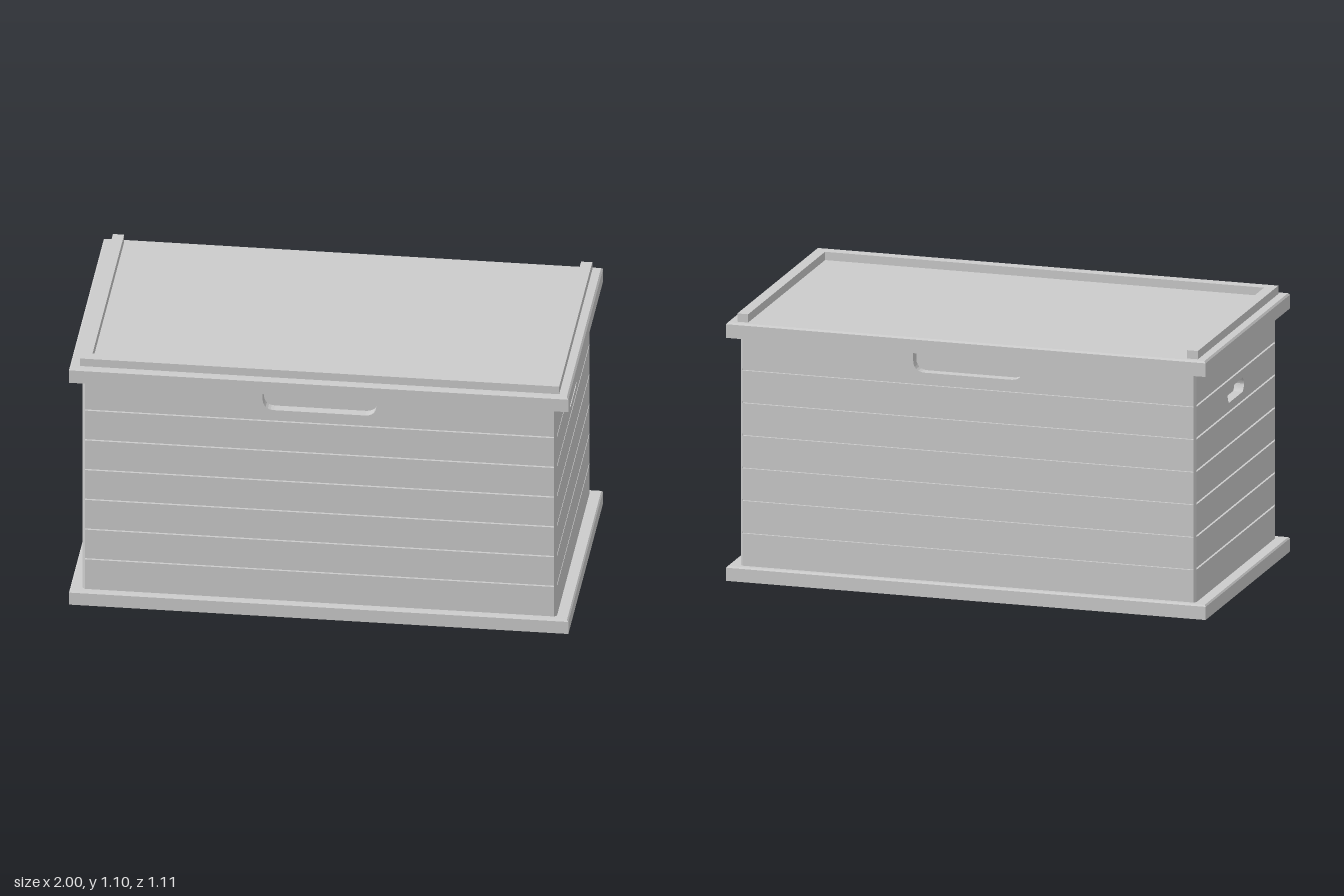
import * as THREE from 'three';

const BODY_X = 0.95, BODY_Z = 0.527, CORNER = 0.01;
const BASE_TOP = 0.06, BODY_TOP = 1.03, LID_TOP = 1.063;
const PLANK_FACE = 0.01, WALL = 0.04, GAP = 0.008;
const SEAMS = [0.197, 0.331, 0.465, 0.599, 0.733, 0.867];

export function createModel() {
  const grey = new THREE.MeshStandardMaterial({ color: 0xcccccc });
  grey.name = 'plain grey';
  const model = new THREE.Group();
  model.name = 'storageChest';

  const add = (parent, name, geometry, x = 0, y = 0, z = 0) => {
    const mesh = new THREE.Mesh(geometry, grey);
    mesh.name = name;
    mesh.position.set(x, y, z);
    parent.add(mesh);
    return mesh;
  };
  const outline = (points) => new THREE.Shape(points.map(([x, y]) => new THREE.Vector2(x, y)));
  const rect = (w, h) => outline([[-w, -h], [w, -h], [w, h], [-w, h]]);
  const extrude = (shape, depth) =>
    new THREE.ExtrudeGeometry(shape, { depth, bevelEnabled: false, curveSegments: 6 });
  // Plan outline (x, -z) raised along y
  const raise = (shape, height) => extrude(shape, height).rotateX(-Math.PI / 2);

  // Slab with its upper edges bevelled
  function slab(w, h, d, bevel) {
    const box = new THREE.BoxGeometry(w, h, d, 1, 2, 1);
    const p = box.attributes.position;
    for (let i = 0; i < p.count; i++) {
      const y = p.getY(i);
      if (Math.abs(y) < 1e-6) p.setY(i, h / 2 - bevel);
      else if (y > 0) {
        p.setX(i, p.getX(i) - Math.sign(p.getX(i)) * bevel);
        p.setZ(i, p.getZ(i) - Math.sign(p.getZ(i)) * bevel);
      }
    }
    const flat = box.toNonIndexed();
    flat.computeVertexNormals();
    return flat.translate(0, h / 2, 0);
  }

  // Upright panel, optionally with the grip notch in its upper edge
  function panel(half, y0, y1, notch) {
    const s = new THREE.Shape();
    s.moveTo(-half, y0);
    s.lineTo(half, y0);
    s.lineTo(half, y1);
    if (notch) {
      s.lineTo(0.228, y1);
      s.lineTo(0.228, 0.96);
      s.quadraticCurveTo(0.226, 0.917, 0.183, 0.915);
      s.lineTo(-0.183, 0.915);
      s.quadraticCurveTo(-0.226, 0.917, -0.228, 0.96);
      s.lineTo(-0.228, y1);
    }
    s.lineTo(-half, y1);
    s.closePath();
    return s;
  }

  // Oblong hand hold
  function handHold() {
    const h = new THREE.Path();
    h.moveTo(-0.09, 0.771);
    h.lineTo(0.09, 0.771);
    h.quadraticCurveTo(0.103, 0.78, 0.108, 0.8);
    h.quadraticCurveTo(0.103, 0.82, 0.09, 0.829);
    h.lineTo(-0.09, 0.829);
    h.quadraticCurveTo(-0.103, 0.82, -0.108, 0.8);
    h.quadraticCurveTo(-0.103, 0.78, -0.09, 0.771);
    return h;
  }

  // Planked wall: its outer face lies at the given distance along local z
  function wall(name, half, distance, turn, isSide) {
    const group = new THREE.Group();
    group.name = name;
    const liner = panel(half, BASE_TOP, BODY_TOP, !isSide);
    if (isSide) liner.holes.push(handHold());
    add(group, 'wallLiner', extrude(liner, WALL - PLANK_FACE), 0, 0, distance - WALL);
    const edges = [BASE_TOP - GAP / 2, ...SEAMS, BODY_TOP + GAP / 2];
    for (let i = 0; i < edges.length - 1; i++) {
      const plank = panel(half, edges[i] + GAP / 2, edges[i + 1] - GAP / 2, !isSide && i === 6);
      if (isSide && i === 5) plank.holes.push(handHold());
      add(group, 'plank', extrude(plank, PLANK_FACE), 0, 0, distance - PLANK_FACE);
    }
    if (isSide) {
      add(group, 'handHoldBack', new THREE.BoxGeometry(0.26, 0.1, 0.008), 0, 0.8, distance - WALL - 0.004);
    }
    group.rotation.y = turn;
    model.add(group);
  }

  // Base board
  add(model, 'base', slab(2, BASE_TOP, 1.11, 0.006));

  // Four walls
  wall('frontWall', BODY_X - CORNER, BODY_Z, 0, false);
  wall('backWall', BODY_X - CORNER, BODY_Z, Math.PI, false);
  wall('leftWall', BODY_Z - CORNER, BODY_X, Math.PI / 2, true);
  wall('rightWall', BODY_Z - CORNER, BODY_X, -Math.PI / 2, true);

  // Chamfered corner strips closing the plank grooves
  for (const sx of [-1, 1]) {
    for (const sz of [-1, 1]) {
      const strip = outline([
        [sx * (BODY_X - CORNER), sz * (BODY_Z - CORNER)],
        [sx * BODY_X, sz * (BODY_Z - CORNER)],
        [sx * (BODY_X - CORNER), sz * BODY_Z],
      ]);
      add(model, 'cornerStrip', raise(strip, BODY_TOP - BASE_TOP), 0, BASE_TOP, 0);
    }
  }

  // Lid with a thin skirt hanging around the body
  const skirt = rect(1, 0.557);
  skirt.holes.push(rect(0.985, 0.542));
  add(model, 'lidSkirt', raise(skirt, BODY_TOP - 1), 0, 1, 0);
  add(model, 'lid', slab(2, LID_TOP - BODY_TOP, 1.114, 0.007), 0, BODY_TOP, 0);

  // U-shaped rail on the lid, open at the back
  const rail = outline([
    [-0.96, -0.528], [0.96, -0.528], [0.96, 0.531], [0.915, 0.531],
    [0.915, -0.48], [-0.915, -0.48], [-0.915, 0.531], [-0.96, 0.531],
  ]);
  add(model, 'lidRail', raise(rail, 0.034), 0, LID_TOP, 0);

  return model;
}
